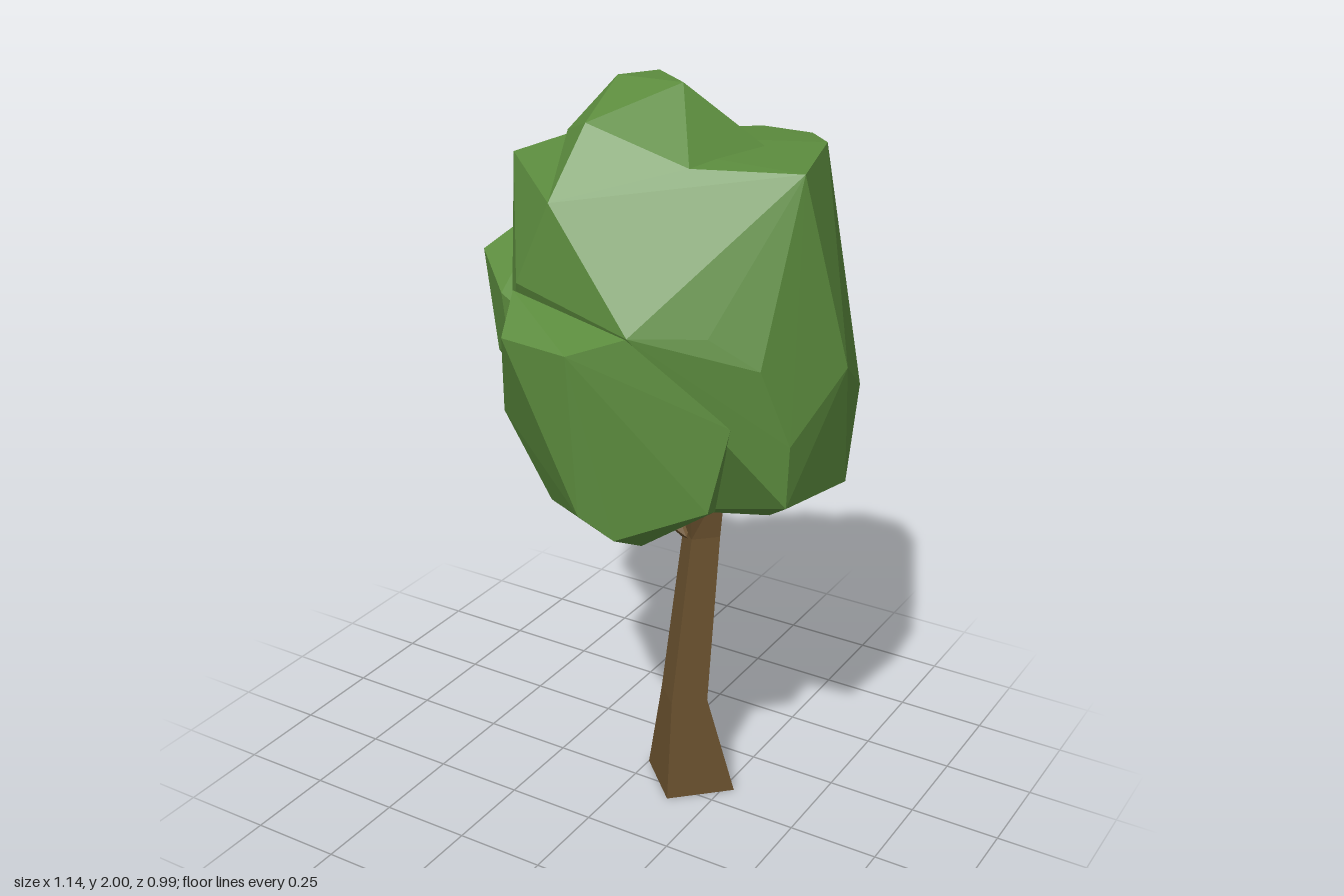
import * as THREE from 'three';
import { ConvexGeometry } from 'three/addons/geometries/ConvexGeometry.js';

const leafGreen = new THREE.MeshStandardMaterial({ name: 'leafGreen', color: 0x5c8c3e, flatShading: true });
const barkBrown = new THREE.MeshStandardMaterial({
  name: 'barkBrown', color: 0x69502e, flatShading: true, side: THREE.DoubleSide,
});

// Faceted leaf clump: the hull of a few corner points
function clump(name, points) {
  const mesh = new THREE.Mesh(new ConvexGeometry(points.map((p) => new THREE.Vector3(...p))), leafGreen);
  mesh.name = name;
  return mesh;
}

// Open four-sided limb lofted through sections: [centre, half-axis u, half-axis v], with v x u along the limb
function limb(name, sections) {
  const positions = [];
  const index = [];
  sections.forEach(([c, u, v]) => {
    for (const [a, b] of [[1, 0], [0, 1], [-1, 0], [0, -1]]) {
      positions.push(...c.map((n, i) => n + u[i] * a + v[i] * b));
    }
  });
  for (let s = 0; s < sections.length - 1; s++) {
    for (let k = 0; k < 4; k++) {
      const a = s * 4 + k, b = s * 4 + (k + 1) % 4;
      index.push(a, a + 4, b, b, a + 4, b + 4);
    }
  }
  const geometry = new THREE.BufferGeometry();
  geometry.setAttribute('position', new THREE.Float32BufferAttribute(positions, 3));
  geometry.setIndex(index);
  const flat = geometry.toNonIndexed();
  flat.computeVertexNormals();
  const mesh = new THREE.Mesh(flat, barkBrown);
  mesh.name = name;
  return mesh;
}

export function createModel() {
  const tree = new THREE.Group();
  tree.name = 'tree';

  // Trunk: flared foot, leaning back, widening into the crown
  const trunk = [
    [0.14, 0, -0.075, 0.14, 0.135],
    [0.132, 0.29, -0.045, 0.073, 0.07],
    [0.145, 0.77, -0.105, 0.057, 0.055],
    [0.155, 0.95, -0.105, 0.062, 0.085],
  ].map(([x, y, z, rx, rz]) => [[x, y, z], [rx, 0, 0], [0, 0, rz]]);
  tree.add(limb('trunk', trunk));

  // Side branch bending up to the side clump
  tree.add(limb('branch', [
    [[0.12, 0.765, -0.11], [0, 0.05, 0], [0, 0, 0.045]],
    [[0.015, 0.79, -0.135], [0.025, 0.025, 0], [0, 0, 0.042]],
    [[-0.22, 1.05, -0.21], [0.026, 0.024, 0], [0, 0, 0.035]],
  ]));

  // Main crown body
  tree.add(clump('crown', [
    [0.46, 1.83, -0.01], [0.39, 1.84, -0.27], [0.3, 1.83, -0.37], [0.16, 1.83, -0.37], [0.22, 1.84, 0.12],
    [-0.31, 1.8, 0.08], [-0.14, 1.87, 0.09], [-0.04, 1.77, 0.33], [-0.2, 1.82, -0.15],
    [-0.24, 1.62, -0.22], [-0.17, 1.62, -0.34],
    [0.57, 1.35, -0.06], [0.49, 1.2, -0.32], [0.35, 1.4, -0.43], [0.26, 1.45, -0.46],
    [0.08, 1.45, -0.46], [-0.12, 1.44, -0.44], [-0.2, 1.46, -0.37], [-0.28, 1.4, -0.14],
    [0.52, 1.2, 0.14], [0.46, 1.4, 0.19], [0.35, 1.48, 0.25], [0.2, 1.49, 0.37],
    [-0.13, 1.56, 0.34], [-0.3, 1.4, 0.12], [-0.29, 1.15, 0.12],
    [0.53, 0.99, -0.17], [0.51, 1.03, 0.13], [0.4, 0.93, 0], [0.2, 0.89, -0.03], [0.15, 0.905, -0.14],
    [0.28, 0.965, -0.345], [0, 0.98, -0.33], [0.03, 0.9, 0], [-0.08, 0.94, 0.08], [0.08, 0.9, 0.08],
    [0.1, 1.08, -0.43], [-0.17, 1.12, -0.37], [-0.18, 1.03, -0.2],
  ]));

  // Raised top
  tree.add(clump('crownTop', [
    [-0.07, 2, -0.03], [0.11, 2, -0.04], [-0.01, 2, -0.13], [-0.03, 1.93, 0.18], [-0.14, 1.88, 0.09],
    [-0.04, 1.77, 0.33], [0.22, 1.84, 0.12], [0.3, 1.83, -0.15], [0.05, 1.85, -0.28],
    [-0.2, 1.82, -0.15], [-0.1, 1.72, -0.3], [0.16, 1.75, -0.36],
  ]));

  // Front bulge
  tree.add(clump('frontClump', [
    [0.11, 1.47, 0.495], [-0.1, 1.46, 0.45], [0.2, 1.49, 0.375], [-0.14, 1.54, 0.34],
    [0.13, 1.06, 0.48], [0.2, 0.99, 0.43], [0.38, 1.05, 0.29], [0.4, 1.25, 0.22], [0.34, 1.0, 0.18],
    [0.2, 0.92, 0.3], [0.1, 0.91, 0.08], [-0.08, 0.97, 0.28], [-0.27, 1.15, 0.21], [-0.3, 1.4, 0.1],
  ]));

  // Shallow bulge at the back
  tree.add(clump('backClump', [
    [-0.07, 1.4, -0.495], [0.12, 1.38, -0.49], [0.17, 1.44, -0.45], [-0.13, 1.44, -0.43],
    [-0.07, 1.2, -0.49], [0.1, 1.2, -0.49], [0.03, 1.09, -0.45], [-0.16, 1.15, -0.39], [0.2, 1.2, -0.42],
    [0, 1.3, -0.2],
  ]));

  // Side clump on the branch
  tree.add(clump('sideClump', [
    [-0.575, 1.44, -0.14], [-0.5, 1.52, -0.31], [-0.44, 1.57, -0.28], [-0.24, 1.56, -0.28],
    [-0.51, 1.4, -0.42], [-0.43, 1.38, -0.46], [-0.38, 1.38, -0.47], [-0.21, 1.4, -0.43], [-0.17, 1.48, -0.3],
    [-0.42, 1.38, 0], [-0.31, 1.35, 0.04], [-0.39, 1.22, 0.01], [-0.52, 1.16, -0.12],
    [-0.49, 1.07, -0.21], [-0.3, 1.0, -0.27], [-0.18, 1.01, -0.25], [-0.4, 1.09, -0.41],
    [-0.19, 1.08, -0.42], [-0.28, 1.07, 0.02], [-0.14, 1.25, -0.2],
  ]));

  return tree;
}
